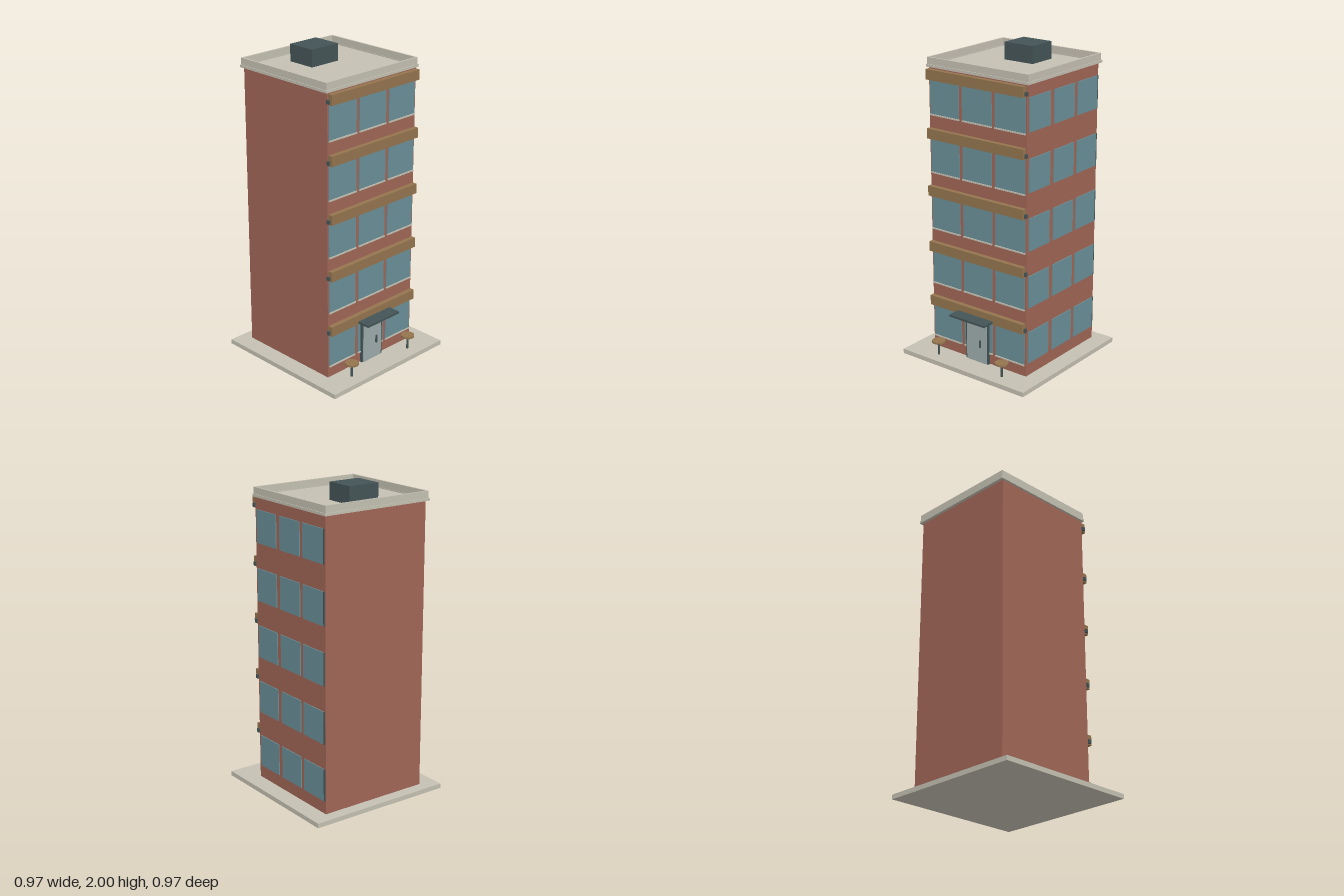
import * as THREE from 'three';

const material = (name, color) => {
  const m = new THREE.MeshStandardMaterial({ color });
  m.name = name;
  return m;
};

export function createModel() {
  const brick = material('brick', 0xa06656);
  const glass = material('glass', 0x6a8f98);
  const concrete = material('concrete', 0xc4c0b2);
  const wood = material('wood', 0x94754e);
  const metal = material('dark metal', 0x445456);
  const doorGrey = material('door grey', 0x9dacab);

  const building = new THREE.Group();
  building.name = 'building';

  const add = (name, geometry, mat, x = 0, y = 0, z = 0, parent = building) => {
    const mesh = new THREE.Mesh(geometry, mat);
    mesh.name = name;
    mesh.position.set(x, y, z);
    parent.add(mesh);
    return mesh;
  };
  // Box given by its lower and upper limits on each axis
  const box = (name, mat, x0, x1, y0, y1, z0, z1, parent) =>
    add(name, new THREE.BoxGeometry(x1 - x0, y1 - y0, z1 - z0), mat,
      (x0 + x1) / 2, (y0 + y1) / 2, (z0 + z1) / 2, parent);

  // Rectangular ring lying flat, used for the roof edge
  const ring = (name, halfX, z0, z1, wall, y0, y1, parent) => {
    const rect = (Path, inset) => new Path([
      [-halfX + inset, -z1 + inset], [halfX - inset, -z1 + inset],
      [halfX - inset, -z0 - inset], [-halfX + inset, -z0 - inset],
    ].map(([a, b]) => new THREE.Vector2(a, b)));
    const shape = rect(THREE.Shape, 0);
    shape.holes.push(rect(THREE.Path, wall));
    const geometry = new THREE.ExtrudeGeometry(shape, { depth: y1 - y0, bevelEnabled: false });
    geometry.rotateX(-Math.PI / 2);
    add(name, geometry, concrete, 0, y0, 0, parent);
  };

  box('pavement', concrete, -0.487, 0.487, 0, 0.03, -0.487, 0.487);

  // Five equal storeys
  const storeyHeight = 0.37;
  for (let i = 0; i < 5; i++) {
    const floor = new THREE.Group();
    floor.name = `storey${i + 1}`;
    floor.position.y = 0.03 + i * storeyHeight;
    building.add(floor);

    box('brickWalls', brick, -0.373, 0.373, 0, storeyHeight, -0.411, 0.309, floor);

    // Front windows with pale sills
    for (const x of [-0.251, 0, 0.251]) {
      box('frontWindow', glass, x - 0.113, x + 0.113, 0.08, 0.293, 0.308, 0.314, floor);
      box('frontSill', concrete, x - 0.113, x + 0.113, 0.071, 0.08, 0.308, 0.319, floor);
    }
    // Windows on the model's left side only
    for (const z of [0.188, -0.056, -0.294]) {
      box('sideWindow', glass, 0.372, 0.379, 0.084, 0.293, z - 0.103, z + 0.103, floor);
    }
    box('sideWindowTrim', metal, 0.372, 0.379, 0.084, 0.293, -0.405, -0.397, floor);

    // Timber band and its end brackets
    box('timberBand', wood, -0.37, 0.37, 0.298, 0.362, 0.313, 0.344, floor);
    for (const s of [-1, 1]) {
      add('bandBracket', new THREE.BoxGeometry(0.012, 0.024, 0.02), metal, s * 0.376, 0.317, 0.32, floor);
    }
  }

  // Flat roof, parapet and plant room
  const roof = new THREE.Group();
  roof.name = 'roof';
  building.add(roof);
  box('roofDeck', concrete, -0.375, 0.375, 1.88, 1.89, -0.42, 0.31, roof);
  ring('cornice', 0.388, -0.431, 0.319, 0.02, 1.88, 1.896, roof);
  ring('parapet', 0.383, -0.425, 0.313, 0.012, 1.88, 1.94, roof);
  box('plantRoom', metal, -0.108, 0.108, 1.885, 2, -0.287, -0.094, roof);

  // Entrance with frame, door, handle and canopy
  const entrance = new THREE.Group();
  entrance.name = 'entrance';
  building.add(entrance);
  box('doorFrame', metal, -0.09, 0.09, 0.03, 0.335, 0.309, 0.327, entrance);
  box('door', doorGrey, -0.079, 0.079, 0.03, 0.325, 0.32, 0.332, entrance);
  box('doorHandle', metal, 0.026, 0.036, 0.135, 0.185, 0.33, 0.342, entrance);
  box('canopy', metal, -0.14, 0.14, 0.335, 0.349, 0.309, 0.428, entrance);

  // Pair of small round tables
  for (const s of [-1, 1]) {
    const table = new THREE.Group();
    table.name = s < 0 ? 'rightTable' : 'leftTable';
    table.position.set(s * 0.256, 0, 0.402);
    building.add(table);
    add('tableTop', new THREE.CylinderGeometry(0.043, 0.043, 0.012, 24), wood, 0, 0.122, 0, table);
    add('tableLeg', new THREE.CylinderGeometry(0.007, 0.007, 0.088, 12), metal, 0, 0.073, 0, table);
  }

  return building;
}
